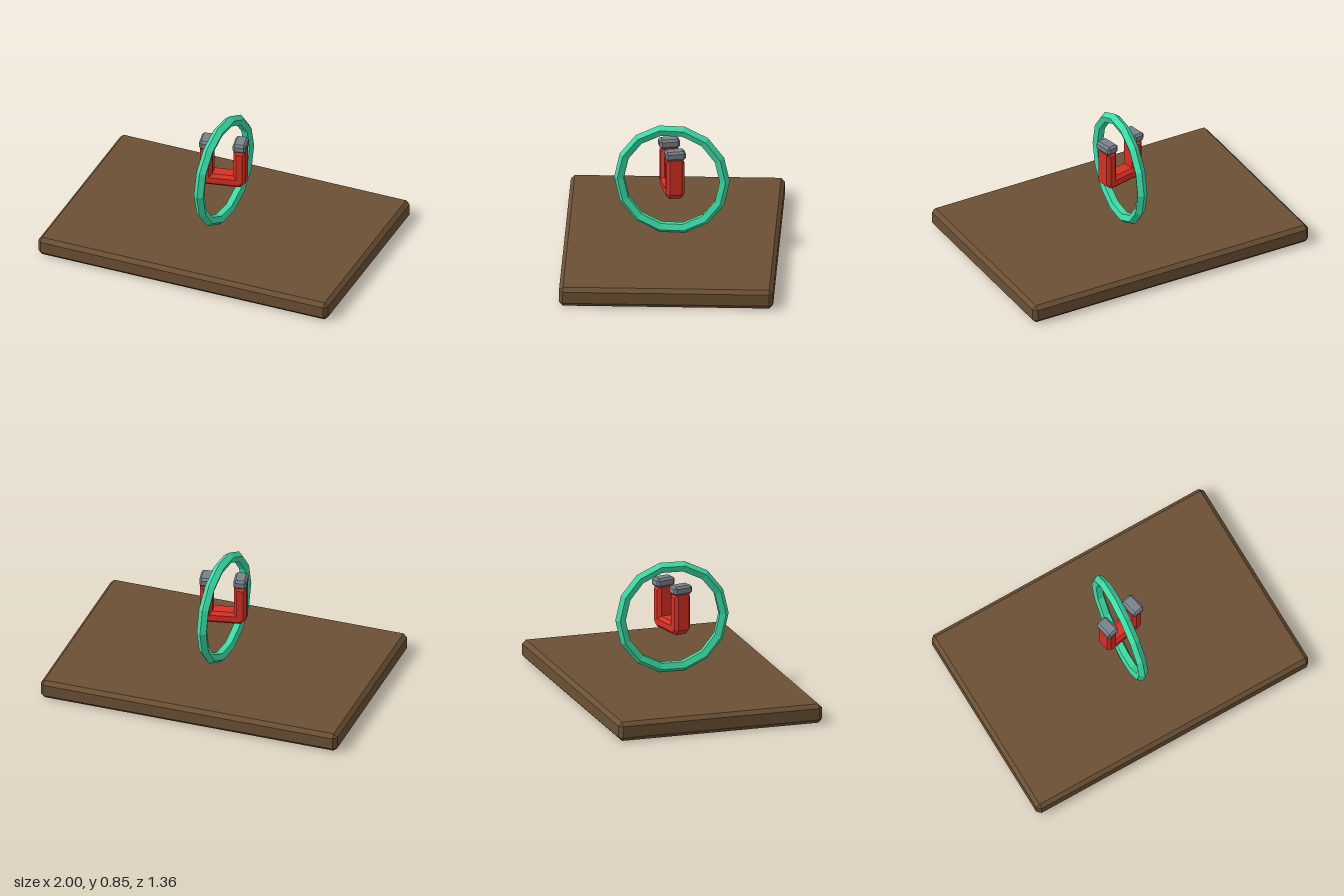
import * as THREE from 'three';
import { ConvexGeometry } from 'three/addons/geometries/ConvexGeometry.js';

const material = (name, color) => {
  const m = new THREE.MeshStandardMaterial({ color });
  m.name = name;
  return m;
};

const mesh = (name, geometry, mat, x = 0, y = 0, z = 0) => {
  const m = new THREE.Mesh(geometry, mat);
  m.name = name;
  m.position.set(x, y, z);
  return m;
};

// Box with every edge and corner cut by c
function chamferBox(w, h, d, c) {
  const points = [];
  for (const x of [-w / 2, w / 2])
    for (const y of [-h / 2, h / 2])
      for (const z of [-d / 2, d / 2]) {
        const [sx, sy, sz] = [Math.sign(x) * c, Math.sign(y) * c, Math.sign(z) * c];
        points.push(
          new THREE.Vector3(x, y - sy, z - sz),
          new THREE.Vector3(x - sx, y, z - sz),
          new THREE.Vector3(x - sx, y - sy, z)
        );
      }
  return new ConvexGeometry(points);
}

// Faceted normals for low-poly surfaces
function faceted(geometry) {
  const g = geometry.index ? geometry.toNonIndexed() : geometry;
  g.computeVertexNormals();
  return g;
}

// U-shaped body with cut lower corners and bevelled edges
function magnetBody() {
  const outer = 0.148, inner = 0.068, bottom = 0.4, barTop = 0.48, top = 0.67;
  const cut = 0.036, depth = 0.115, bevel = 0.02;
  const shape = new THREE.Shape([
    [-outer + cut, bottom], [outer - cut, bottom], [outer, bottom + cut], [outer, top],
    [inner, top], [inner, barTop], [-inner, barTop], [-inner, top],
    [-outer, top], [-outer, bottom + cut],
  ].map(([x, y]) => new THREE.Vector2(x, y)));
  const g = new THREE.ExtrudeGeometry(shape, {
    depth: depth - 2 * bevel, bevelEnabled: true, bevelSegments: 1,
    bevelSize: bevel, bevelThickness: bevel, bevelOffset: -bevel,
  });
  g.translate(0, 0, bevel - depth / 2);
  return faceted(g);
}

export function createModel() {
  const wood = material('brown wood', 0x6b5034);
  const red = material('red paint', 0xd93025);
  const steel = material('grey steel', 0x7a838a);
  const green = material('mint green', 0x3ddba5);

  const model = new THREE.Group();
  model.name = 'magnetInRing';

  // Base slab
  model.add(mesh('base', chamferBox(2, 0.125, 1.36, 0.025), wood, 0, 0.0625, 0));

  // Upright ring standing on the base, turned slightly off the z axis
  const ring = mesh('ring', faceted(new THREE.TorusGeometry(0.335, 0.035, 5, 14)), green, 0, 0.49, 0);
  ring.rotation.y = 1.49;
  model.add(ring);

  // Horseshoe magnet floating inside the ring
  const magnet = new THREE.Group();
  magnet.name = 'magnet';
  magnet.rotation.y = 0.21;
  magnet.add(mesh('magnetBody', magnetBody(), red));
  for (const side of [-1, 1]) {
    const name = side > 0 ? 'leftPoleTip' : 'rightPoleTip';
    magnet.add(mesh(name, chamferBox(0.085, 0.06, 0.13, 0.014), steel, side * 0.109, 0.697, 0));
  }
  model.add(magnet);

  return model;
}
